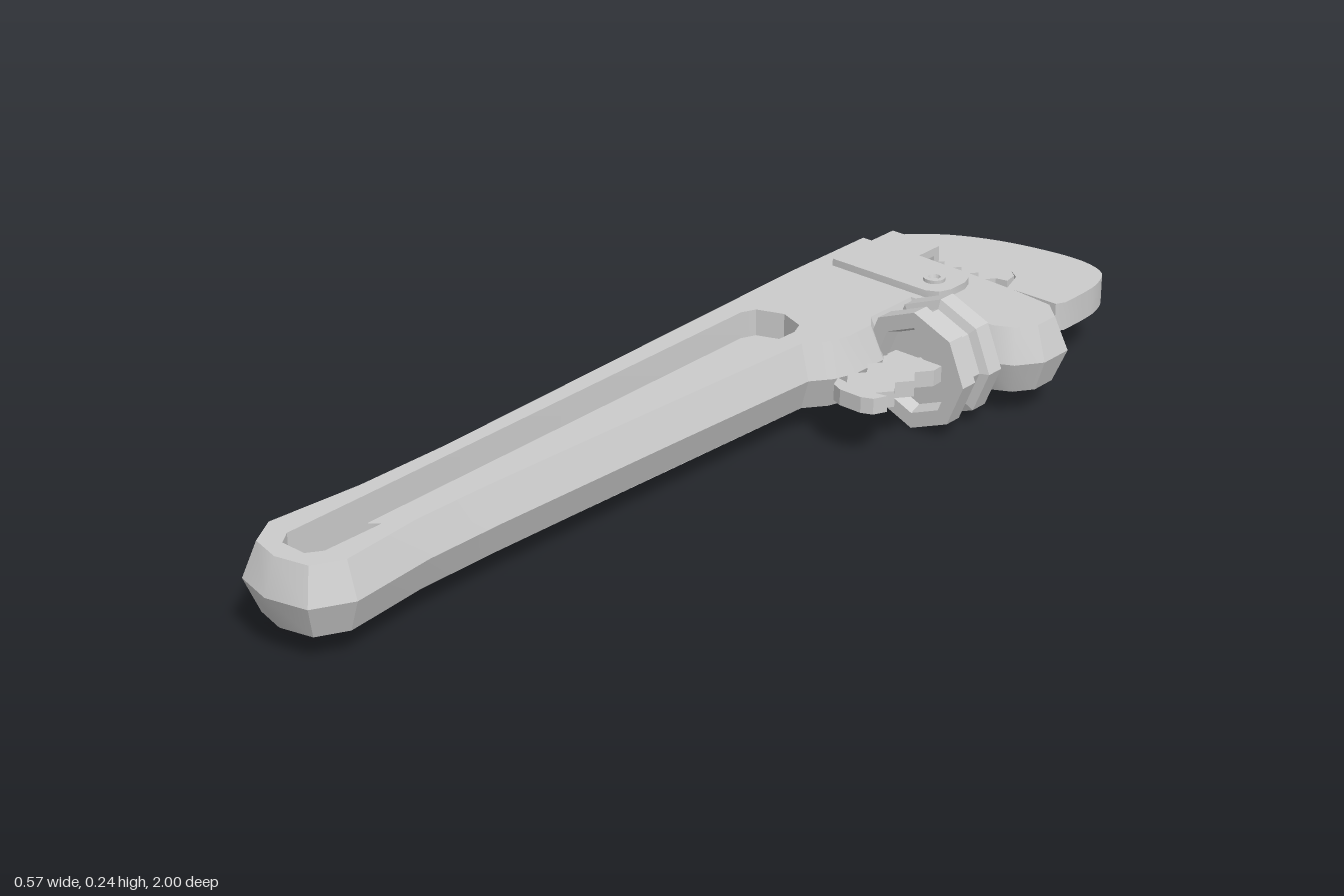
import * as THREE from 'three';
import { toCreasedNormals } from 'three/addons/utils/BufferGeometryUtils.js';

const MID = 0.12; // height of the middle plane
const mat = new THREE.MeshStandardMaterial({ color: 0xcccccc, side: THREE.DoubleSide });

function part(name, geometry, crease = 0.5) {
  const mesh = new THREE.Mesh(toCreasedNormals(geometry, crease), mat);
  mesh.name = name;
  return mesh;
}

// Outline points are [x, z] as seen from above
const toPath = (pts) => pts.map(([x, z]) => new THREE.Vector2(x, -z));

// Flat plate of the outline between two heights; its top and bottom rims are drawn in by inset
function plate(pts, y0, y1, { hole = null, inset = 0 } = {}) {
  const out = toPath(pts);
  if (THREE.ShapeUtils.isClockWise(out)) out.reverse();
  const shape = new THREE.Shape(out);
  if (hole) shape.holes.push(new THREE.Path(toPath(hole)));
  const depth = y1 - y0;
  const geo = new THREE.ExtrudeGeometry(shape, { depth, steps: 2, bevelEnabled: false });
  if (inset) {
    const shift = out.map((p, i) => {
      const a = out[(i + out.length - 1) % out.length], b = out[(i + 1) % out.length];
      const d1 = p.clone().sub(a).normalize(), d2 = b.clone().sub(p).normalize();
      const n1 = new THREE.Vector2(-d1.y, d1.x), n2 = new THREE.Vector2(-d2.y, d2.x);
      return n1.clone().add(n2).multiplyScalar(inset / (1 + n1.dot(n2)));
    });
    const pos = geo.attributes.position;
    for (let v = 0; v < pos.count; v++) {
      if (Math.abs(pos.getZ(v) - depth / 2) < 1e-4) continue;
      const x = pos.getX(v), y = pos.getY(v);
      const i = out.findIndex((p) => Math.hypot(p.x - x, p.y - y) < 1e-4);
      if (i >= 0) pos.setXY(v, x + shift[i].x, y + shift[i].y);
    }
  }
  geo.rotateX(-Math.PI / 2);
  geo.translate(0, y0, 0);
  return geo;
}

// Zigzag from one x to another, alternating between two z values
function zigzag(x0, x1, zA, zB, teeth) {
  const pts = [];
  for (let i = 0; i <= teeth * 2; i++) {
    pts.push([x0 + ((x1 - x0) * i) / (teeth * 2), i % 2 ? zB : zA]);
  }
  return pts;
}

export function createModel() {
  const group = new THREE.Group();
  const add = (...meshes) => group.add(...meshes);

  // Handle and housing in one bevelled casting, with a long slot
  const body = [
    [-0.29, -0.75], [-0.29, -0.5], [-0.275, -0.1], [-0.252, 0.5], [-0.253, 0.7],
    [-0.27, 0.9], [-0.225, 0.975], [-0.145, 0.995], [-0.06, 0.975], [-0.02, 0.9],
    [-0.036, 0.72], [-0.034, 0.55], [-0.017, 0.1], [-0.002, -0.24], [0.028, -0.28],
    [0.044, -0.33], [0.044, -0.41], [0.02, -0.44], [0.02, -0.53], [0.2, -0.53],
    [0.25, -0.555], [0.285, -0.605], [0.285, -0.68], [0.23, -0.73], [0.13, -0.742], [0.0, -0.75],
  ];
  const slotTop = [[-0.208, -0.28], [-0.195, -0.31], [-0.14, -0.33], [-0.085, -0.31], [-0.072, -0.28]];
  const slot = [
    ...slotTop, [-0.094, 0.71], [-0.096, 0.9], [-0.115, 0.928],
    [-0.17, 0.928], [-0.19, 0.9], [-0.192, 0.71],
  ];
  add(part('handle', plate(body, 0.053, 0.19, { hole: slot, inset: 0.026 })));

  // Thin web closing most of the slot
  const web = [...slotTop, [-0.094, 0.72], [-0.115, 0.705], [-0.143, 0.698], [-0.172, 0.705], [-0.192, 0.72]];
  add(part('handleWeb', plate(web, MID - 0.015, MID + 0.015)));

  // Hook jaw with curved back
  const hook = new THREE.CatmullRomCurve3([
    [-0.27, -0.87], [-0.2, -0.927], [-0.1, -0.972], [0.03, -0.998], [0.1, -0.998],
    [0.155, -0.975], [0.18, -0.92], [0.185, -0.87],
  ].map(([x, z]) => new THREE.Vector3(x, 0, z))).getPoints(28).map((p) => [p.x, Math.max(p.z, -1)]);
  const jaw = [
    ...hook, [0.185, -0.81], [0.175, -0.79], [0.055, -0.79], [0.045, -0.82],
    [0.036, -0.845], [0.015, -0.86], [-0.255, -0.86], [-0.255, -0.8], [-0.27, -0.82],
  ];
  add(part('hookJaw', plate(jaw, 0.09, 0.15)));

  // Toothed faces of the upper and lower jaws
  const upper = [
    [-0.258, -0.855], [0.015, -0.855], [0.035, -0.84], [0.04, -0.81],
    ...zigzag(0.015, -0.245, -0.805, -0.775, 6), [-0.258, -0.815],
  ];
  add(part('upperTeeth', plate(upper, 0.086, 0.154)));
  const lower = [
    [-0.25, -0.72], ...zigzag(-0.25, 0.0, -0.76, -0.785, 6), [0.0, -0.72],
  ];
  add(part('lowerJaw', plate(lower, 0.084, 0.156)));

  // Shank of the hook jaw, threaded on both edges, ending in a blunt tip
  const edge = [[0.165, -0.8], [0.165, -0.44]];
  for (let z = -0.41; z < -0.27; z += 0.06) edge.push([0.167, z], [0.144, z + 0.03]);
  edge.push([0.17, -0.265], [0.158, -0.238], [0.135, -0.228]);
  const mirrored = edge.map(([x, z]) => [0.22 - x, z]).reverse();
  add(part('jawShank', plate([...edge, ...mirrored], 0.104, 0.137), 0.3));

  // Eight-sided adjusting nut: two flanges, a groove and a recessed front
  const nutProfile = [
    [0.02, -0.53], [0.122, -0.53], [0.122, -0.492], [0.104, -0.485], [0.104, -0.455],
    [0.122, -0.448], [0.122, -0.41], [0.09, -0.41], [0.08, -0.435], [0.02, -0.435],
  ].map(([r, z]) => new THREE.Vector2(r, z));
  const nutGeo = new THREE.LatheGeometry(nutProfile, 8);
  nutGeo.rotateX(Math.PI / 2);
  nutGeo.translate(0.115, MID, 0);
  add(part('adjustingNut', nutGeo, 0.2));

  // Spring plates on both sides, joined by a strap over the end of the housing
  const spring = [
    [-0.22, -0.765], [-0.1, -0.765], [-0.1, -0.7], [0.015, -0.695], [0.04, -0.68],
    [0.05, -0.655], [0.05, -0.61], [0.04, -0.585], [0.015, -0.573], [-0.22, -0.573],
  ];
  add(part('topSpringPlate', plate(spring, 0.188, 0.205)));
  add(part('bottomSpringPlate', plate(spring, 0.036, 0.055)));
  const strap = new THREE.BoxGeometry(0.12, 0.16, 0.016);
  strap.translate(-0.16, MID, -0.757);
  add(part('springStrap', strap));

  // Pivot pin with a small centre dimple at each end
  const pinProfile = [[0, -0.084], [0.009, -0.084], [0.012, -0.092], [0.022, -0.092],
    [0.022, 0.092], [0.012, 0.092], [0.009, 0.084], [0, 0.084]].map(([r, y]) => new THREE.Vector2(r, y));
  const pin = new THREE.LatheGeometry(pinProfile, 20);
  pin.translate(-0.003, MID, -0.625);
  add(part('pivotPin', pin));

  return group;
}
